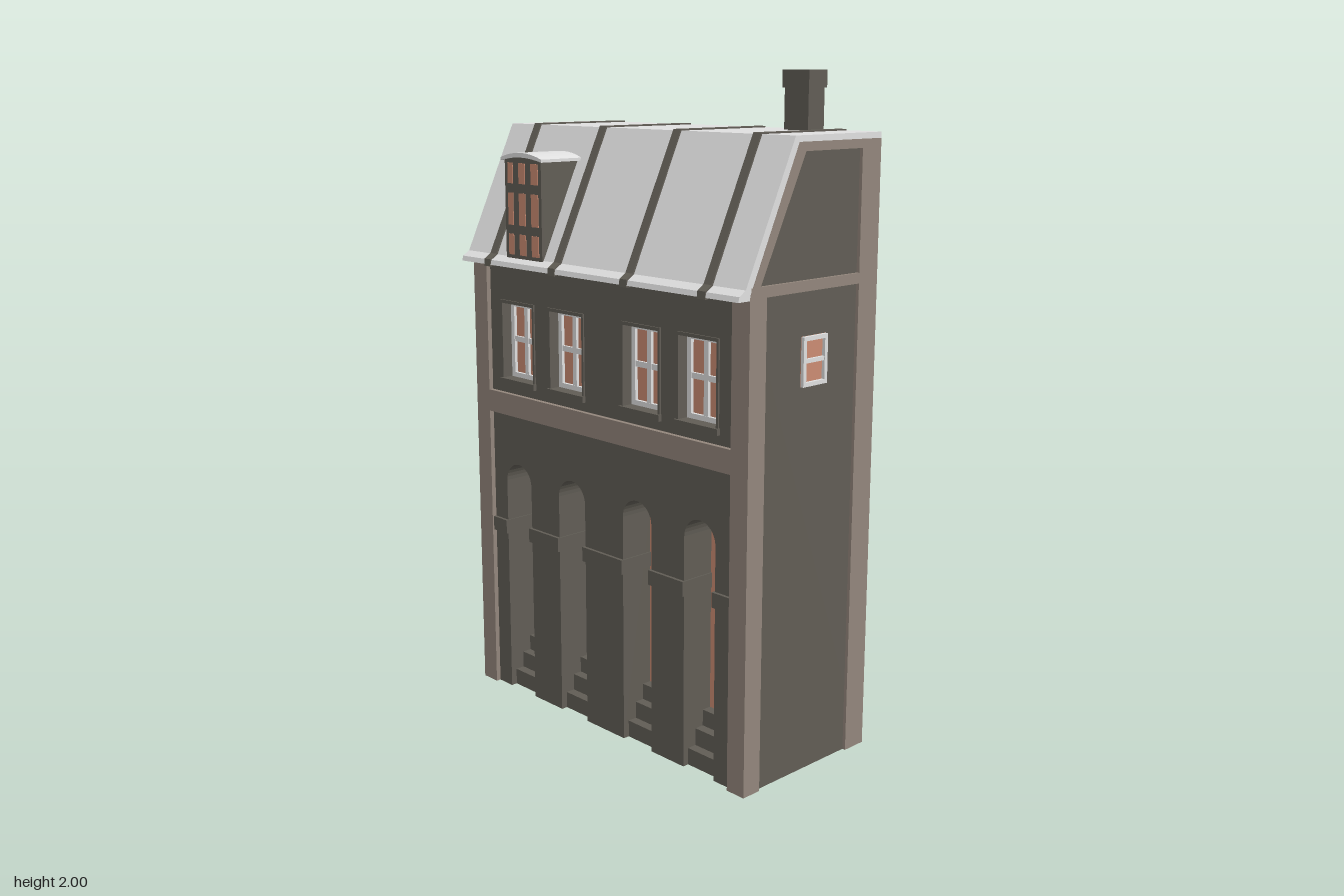
import * as THREE from 'three';

const mat = (name, color) => {
  const m = new THREE.MeshStandardMaterial({ color });
  m.name = name;
  return m;
};

export function createModel() {
  const wall = mat('darkWall', 0x615d55);
  const trim = mat('brownTrim', 0x93867c);
  const light = mat('paleRoof', 0xe0e0e0);
  const glass = mat('orangeGlass', 0xcb8c73);

  const house = new THREE.Group();
  house.name = 'townhouse';

  const add = (name, geo, material, parent = house) => {
    const m = new THREE.Mesh(geo, material);
    m.name = name;
    parent.add(m);
    return m;
  };
  // Box given by its minimum and maximum on each axis
  const box = (name, material, x0, x1, y0, y1, z0, z1, parent = house) => {
    const g = new THREE.BoxGeometry(x1 - x0, y1 - y0, z1 - z0);
    g.translate((x0 + x1) / 2, (y0 + y1) / 2, (z0 + z1) / 2);
    return add(name, g, material, parent);
  };
  const poly = (pts) => new THREE.Shape(pts.map(([a, b]) => new THREE.Vector2(a, b)));
  const rect = (x0, x1, y0, y1) => poly([[x0, y0], [x1, y0], [x1, y1], [x0, y1]]);
  const extrude = (shape, depth) =>
    new THREE.ExtrudeGeometry(shape, { depth, bevelEnabled: false, curveSegments: 8 });
  // Extrude a (z, y) profile from x0 to x1
  const extrudeX = (shape, x0, x1) => {
    const g = extrude(shape, x1 - x0);
    g.rotateY(-Math.PI / 2);
    g.translate(x1, 0, 0);
    return g;
  };

  // ---- Front wall with arched openings and window holes
  const archXs = [-0.41, -0.15, 0.145, 0.405];
  const windowXs = [-0.398, -0.165, 0.165, 0.395];
  const r = 0.062, spring = 0.708, wallFront = 0.225, wallBack = 0.115;
  const front = new THREE.Shape();
  front.moveTo(-0.54, 0);
  for (const x of archXs) {
    front.lineTo(x - r, 0);
    front.lineTo(x - r, spring);
    front.absarc(x, spring, r, Math.PI, 0, true);
    front.lineTo(x + r, 0);
  }
  front.lineTo(0.54, 0);
  front.lineTo(0.54, 1.42);
  front.lineTo(-0.54, 1.42);
  front.closePath();
  for (const x of windowXs) front.holes.push(rect(x - 0.075, x + 0.075, 1.045, 1.29));
  const frontGeo = extrude(front, wallFront - wallBack);
  frontGeo.translate(0, 0, wallBack);
  add('frontWall', frontGeo, wall);

  // ---- Arched doors, steps and impost bands
  for (const x of archXs) {
    box('archGlass', glass, x - 0.07, x + 0.07, 0.01, 0.78, wallBack - 0.008, wallBack);
    [[0.052, 0.205], [0.105, 0.175], [0.155, 0.145]].forEach(([top, z], i) =>
      box('step', wall, x - r, x + r, i ? top - 0.053 : 0, top, wallBack, z));
  }
  const pierEdges = [-0.535, ...archXs.flatMap((x) => [x - r, x + r]), 0.535];
  for (let i = 0; i < pierEdges.length; i += 2) {
    const a = pierEdges[i] - (i ? 0.004 : 0), b = pierEdges[i + 1] + (i < 8 ? 0.004 : 0);
    box('impostBand', wall, a, b, 0.53, 0.575, wallBack, wallFront + 0.01);
  }

  // ---- Cross-barred window, centred on its origin and facing +z
  const crossWindow = (name, w, h, bar, vertical = true) => {
    const g = new THREE.Group();
    g.name = name;
    const x = w / 2, y = h / 2;
    box('pane', glass, -x, x, -y, y, -0.008, 0, g);
    const frame = rect(-x, x, -y, y);
    frame.holes.push(rect(-x + bar, x - bar, -y + bar, y - bar));
    add('windowFrame', extrude(frame, 0.01), light, g);
    box('crossbar', light, -x, x, y * 0.02 - bar / 2, y * 0.02 + bar / 2, 0, 0.008, g);
    if (vertical) box('mullion', light, -bar / 2, bar / 2, -y, y, 0, 0.009, g);
    house.add(g);
    return g;
  };
  for (const x of windowXs) {
    crossWindow('upperWindow', 0.15, 0.245, 0.017).position.set(x, 1.1675, 0.185);
    box('windowSill', wall, x - 0.085, x + 0.085, 1.028, 1.047, 0.19, 0.237);
    box('windowLintel', wall, x - 0.082, x + 0.082, 1.286, 1.296, 0.19, 0.23);
    for (const s of [-1, 1])
      box('windowSurround', wall, x + s * 0.078 - 0.004, x + s * 0.078 + 0.004,
        1.047, 1.286, 0.19, 0.23);
  }
  const sideWindow = crossWindow('sideWindow', 0.1, 0.14, 0.012, false);
  sideWindow.rotation.y = Math.PI / 2;
  sideWindow.position.set(0.592, 1.22, -0.025);

  // ---- Belt course on the front
  box('beltCourse', trim, -0.54, 0.54, 0.93, 1.0, 0.2, 0.24);

  // ---- Side walls, corner posts and gable framing
  const sideProfile = [[-0.275, 0], [0.23, 0], [0.23, 1.42], [0.052, 1.815], [-0.275, 1.815]];
  for (const s of [-1, 1]) {
    const span = (a, b) => (s > 0 ? [a, b] : [-b, -a]);
    add('sideWall', extrudeX(poly(sideProfile), ...span(0.57, 0.59)), wall);
    box('frontCornerPost', trim, ...span(0.535, 0.6), 0, 1.42, 0.175, 0.24);
    box('backCornerPost', trim, ...span(0.535, 0.6), 0, 1.42, -0.285, -0.205);
    box('sideBand', trim, ...span(0.585, 0.6), 1.415, 1.445, -0.285, 0.235);
    const gable = poly([[-0.285, 1.42], [0.24, 1.42], [0.058, 1.817], [-0.285, 1.817]]);
    gable.holes.push(poly([[-0.205, 1.445], [0.2, 1.445], [0.03, 1.79], [-0.205, 1.79]]));
    add('gableFrame', extrudeX(gable, ...span(0.585, 0.6)), trim);
    box('backUpperPost', trim, ...span(0.535, 0.6), 1.42, 1.817, -0.285, -0.205);
  }

  // ---- Back wall with its band and top rail
  box('backWall', wall, -0.57, 0.57, 0, 1.815, -0.275, -0.255);
  box('backBand', trim, -0.54, 0.54, 1.415, 1.445, -0.285, -0.265);
  box('backTopRail', trim, -0.54, 0.54, 1.79, 1.817, -0.285, -0.265);

  // ---- Roof shell with a small flared eave
  const roof = poly([[-0.285, 1.815], [0.058, 1.815], [0.24, 1.425], [0.24, 1.412],
    [0.285, 1.412], [0.281, 1.427], [0.257, 1.442], [0.073, 1.832], [-0.285, 1.832]]);
  add('roof', extrudeX(roof, -0.6, 0.6), light);

  // Dark seams running over the roof
  const seam = poly([[-0.277, 1.825], [0.07, 1.825], [0.25, 1.44], [0.275, 1.407],
    [0.287, 1.407], [0.285, 1.429], [0.262, 1.444], [0.076, 1.836], [-0.277, 1.836]]);
  for (const x of [-0.468, -0.16, 0.156, 0.465])
    add('roofSeam', extrudeX(seam, x - 0.015, x + 0.015), wall);

  // ---- Dormer with a gridded window and curved roof
  const dormer = new THREE.Group();
  dormer.name = 'dormer';
  house.add(dormer);
  const cheeks = poly([[0.25, 1.437], [0.262, 1.437], [0.262, 1.738], [0.112, 1.738]]);
  add('dormerBody', extrudeX(cheeks, -0.4, -0.228), wall, dormer);
  for (const [x0, x1] of [[-0.385, -0.361], [-0.333, -0.303], [-0.275, -0.242]])
    for (const [y0, y1] of [[1.45, 1.513], [1.54, 1.637], [1.665, 1.727]])
      box('dormerPane', glass, x0, x1, y0, y1, 0.26, 0.264, dormer);
  const cap = new THREE.Shape();
  cap.moveTo(-0.41, 1.733);
  cap.quadraticCurveTo(-0.313, 1.755, -0.216, 1.733);
  cap.lineTo(-0.216, 1.742);
  cap.quadraticCurveTo(-0.313, 1.774, -0.41, 1.742);
  cap.closePath();
  const capGeo = extrude(cap, 0.165);
  capGeo.translate(0, 0, 0.105);
  add('dormerRoof', capGeo, light, dormer);
  const tympanum = new THREE.Shape();
  tympanum.moveTo(-0.4, 1.73);
  tympanum.lineTo(-0.228, 1.73);
  tympanum.quadraticCurveTo(-0.313, 1.755, -0.4, 1.735);
  const tympGeo = extrude(tympanum, 0.15);
  tympGeo.translate(0, 0, 0.112);
  add('dormerHead', tympGeo, wall, dormer);

  // ---- Chimney
  box('chimneyStack', wall, 0.325, 0.415, 1.825, 1.96, -0.255, -0.187);
  box('chimneyCap', wall, 0.32, 0.42, 1.95, 2.0, -0.26, -0.182);

  return house;
}
